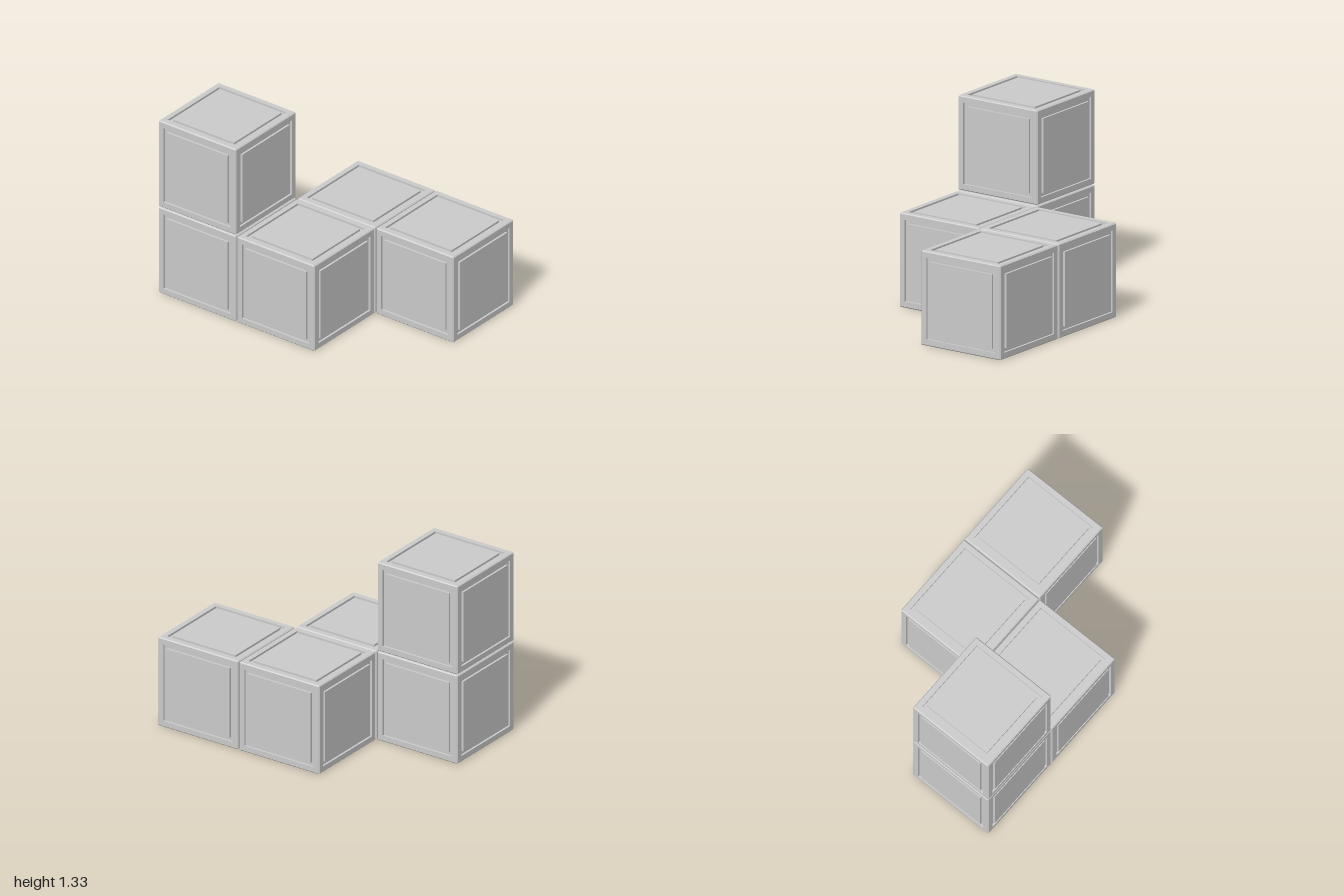
import * as THREE from 'three';
import { mergeGeometries } from 'three/addons/utils/BufferGeometryUtils.js';

const PITCH = 0.669;            // spacing between cubes
const HALF = (2 - 2 * PITCH) / 2; // half the cube edge
const BEVEL = 0.007;
const GROOVE = { outer: HALF - 0.045, inner: HALF - 0.07, depth: 0.015 };

// One cube face: half of the edge bevel, frame, square groove and centre panel.
// A four-sided lathe gives the nested squares.
function faceGeometry() {
  const profile = [
    [HALF - BEVEL / 2, HALF - BEVEL / 2],
    [HALF - BEVEL, HALF],
    [GROOVE.outer, HALF],
    [GROOVE.outer, HALF - GROOVE.depth],
    [GROOVE.inner, HALF - GROOVE.depth],
    [GROOVE.inner, HALF],
    [0, HALF],
  ].map(([r, y]) => new THREE.Vector2(r * Math.SQRT2, y));
  return new THREE.LatheGeometry(profile, 4, Math.PI / 4);
}

// Six turned copies of the face close the cube.
function cubeGeometry() {
  const q = Math.PI / 2;
  const turns = [[0, 0], [q, 0], [2 * q, 0], [-q, 0], [0, q], [0, -q]];
  const faces = turns.map(([rx, rz]) => faceGeometry().rotateX(rx).rotateZ(rz));
  const geometry = mergeGeometries(faces).toNonIndexed();
  geometry.computeVertexNormals();
  return geometry;
}

export function createModel() {
  const model = new THREE.Group();
  model.name = 'cubeStack';
  const material = new THREE.MeshStandardMaterial({ color: 0xcccccc, flatShading: true });
  const geometry = cubeGeometry();

  // Column, level and row of each cube
  const cubes = {
    rightFrontCube: [-1, 0, 0.5],
    rightTopCube: [-1, 1, 0.5],
    middleFrontCube: [0, 0, 0.5],
    middleBackCube: [0, 0, -0.5],
    leftBackCube: [1, 0, -0.5],
  };
  for (const [name, [x, y, z]] of Object.entries(cubes)) {
    const cube = new THREE.Mesh(geometry, material);
    cube.name = name;
    cube.position.set(x * PITCH, HALF + y * PITCH, z * PITCH);
    model.add(cube);
  }
  return model;
}
